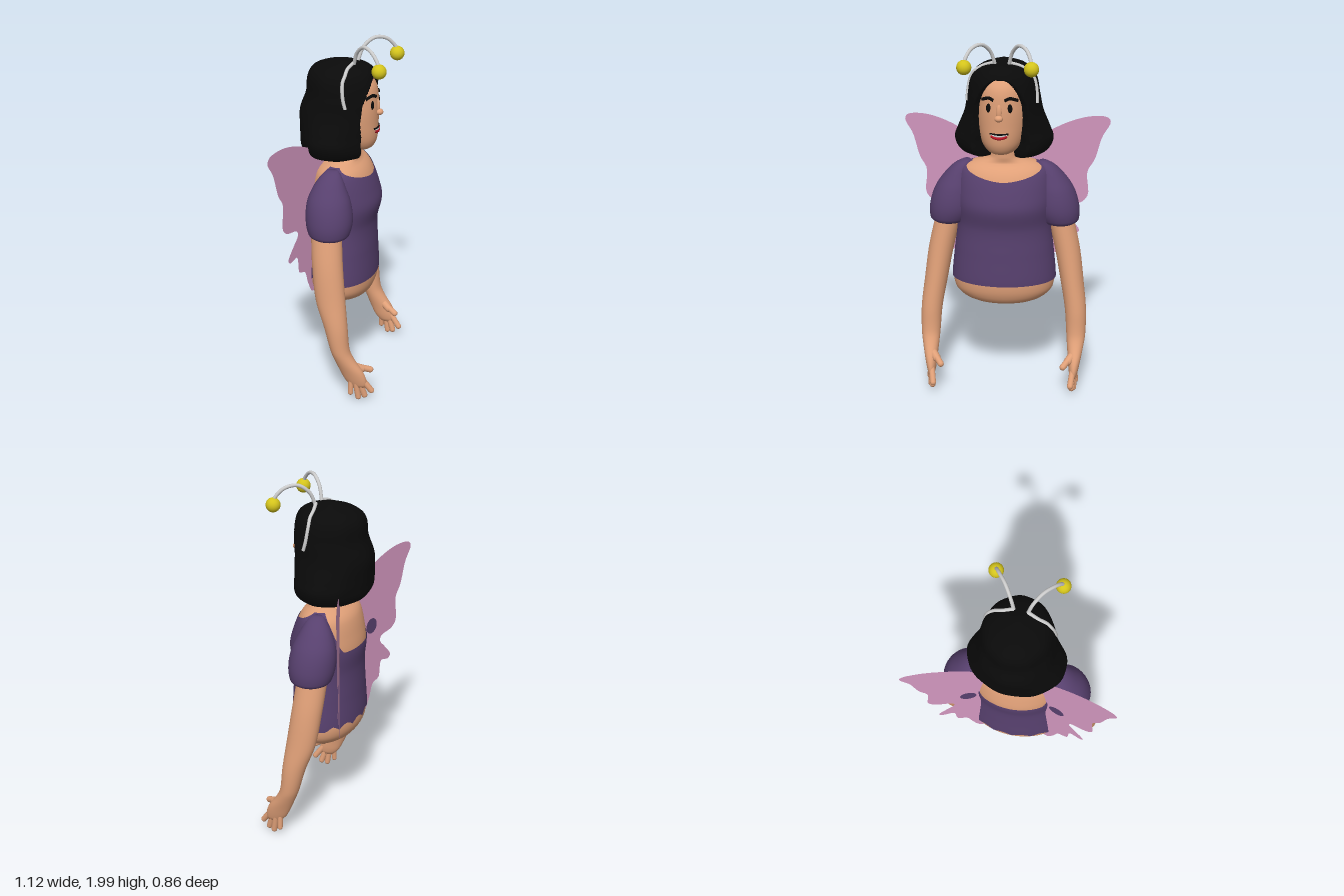
import * as THREE from 'three';

const mat = (color, side = THREE.FrontSide) => new THREE.MeshStandardMaterial({ color, side });
const V = (x, y, z) => new THREE.Vector3(x, y, z);
const smooth = THREE.MathUtils.smoothstep;

// Smooth lookup in a list of cross-sections [y, halfWidth, halfDepth, centreZ, centreX]
function sectionAt(secs, y) {
  let i = 0;
  while (i < secs.length - 2 && y > secs[i + 1][0]) i++;
  const p = secs[i], q = secs[i + 1];
  const o = secs[Math.max(i - 1, 0)], r = secs[Math.min(i + 2, secs.length - 1)];
  const h = q[0] - p[0], t = THREE.MathUtils.clamp((y - p[0]) / h, 0, 1);
  return [1, 2, 3, 4].map(k => {
    const a = p[k] ?? 0, b = q[k] ?? 0;
    const m0 = (b - (o[k] ?? 0)) / (q[0] - o[0]) * h, m1 = ((r[k] ?? 0) - a) / (r[0] - p[0]) * h;
    const t2 = t * t, t3 = t2 * t;
    return (2 * t3 - 3 * t2 + 1) * a + (t3 - 2 * t2 + t) * m0 + (3 * t2 - 2 * t3) * b + (t3 - t2) * m1;
  });
}

// Skin elliptical cross-sections; angle 0 is the front
function loft(secs, { n = 40, rows = 40, cap = true, factor = () => 1, lo, hi, side = 1 } = {}) {
  const y0 = secs[0][0], y1 = secs[secs.length - 1][0], pos = [], idx = [];
  const first = cap ? -1 : 0, last = cap ? rows + 1 : rows;
  for (let j = first; j <= last; j++) for (let i = 0; i < n; i++) {
    const th = -Math.PI + (i / n) * 2 * Math.PI;
    const v = THREE.MathUtils.clamp(j / rows, 0, 1);
    const y = THREE.MathUtils.lerp(lo ? lo(th) : y0, hi ? hi(th) : y1, v);
    const [a, b, cz, cx] = sectionAt(secs, y);
    const f = j < 0 || j > rows ? 0 : factor(th, y);
    pos.push(side * cx + a * f * Math.sin(th), y, cz + b * f * Math.cos(th));
  }
  for (let j = 0; j < last - first; j++) for (let i = 0; i < n; i++) {
    const k = (i + 1) % n, a = j * n + i, b = j * n + k;
    idx.push(a, b, b + n, a, b + n, a + n);
  }
  const g = new THREE.BufferGeometry();
  g.setAttribute('position', new THREE.Float32BufferAttribute(pos, 3));
  g.setIndex(idx);
  g.computeVertexNormals();
  return g;
}

function add(parent, name, geo, material, p) {
  const m = new THREE.Mesh(geo, material);
  m.name = name;
  if (p) m.position.copy(p);
  parent.add(m);
  return m;
}

// Round-ended stick from p to q
function stick(parent, name, p, q, r, material) {
  const d = q.clone().sub(p);
  const m = add(parent, name, new THREE.CapsuleGeometry(r, d.length(), 6, 12), material, p.clone().add(q).multiplyScalar(0.5));
  m.quaternion.setFromUnitVectors(V(0, 1, 0), d.normalize());
}

function ball(parent, name, p, sx, sy, sz, material) {
  add(parent, name, new THREE.SphereGeometry(1, 24, 16), material, p).scale.set(sx, sy, sz);
}

const tube = (pts, r) => new THREE.TubeGeometry(new THREE.CatmullRomCurve3(pts), 40, r, 10);

const TORSO = [[.493, .09, .05, .055], [.5, .16, .1, .05], [.52, .22, .145, .042], [.56, .268, .175, .035], [.6, .283, .189, .031],
  [.65, .286, .193, .03], [.8, .272, .186, .03], [.95, .256, .182, .03], [1.07, .262, .2, .036], [1.15, .26, .187, .032],
  [1.25, .245, .155, .025], [1.29, .22, .125, .025], [1.315, .16, .09, .03], [1.34, .09, .08, .045], [1.45, .08, .075, .05]];
const SLEEVE = [[.955, .085, .09, .018, .312], [.97, .108, .112, .018, .308], [1.05, .127, .13, .016, .291],
  [1.15, .111, .12, .01, .276], [1.23, .077, .088, .008, .255], [1.285, .047, .055, .012, .23], [1.308, .022, .03, .014, .212]];
const ARM = [[.085, .016, .04, .215, .403], [.12, .026, .06, .2, .404], [.18, .036, .066, .175, .408],
  [.25, .047, .057, .136, .412], [.31, .054, .054, .11, .414], [.45, .06, .066, .083, .409],
  [.6, .065, .083, .048, .388], [.8, .071, .086, .022, .356], [1, .073, .085, .004, .31]];
const HEAD = [[1.385, .05, .05, .13], [1.4, .08, .09, .11], [1.45, .115, .14, .08], [1.55, .138, .165, .06],
  [1.65, .142, .17, .055], [1.75, .135, .16, .05], [1.82, .09, .11, .05]];
const HAIR = [[1.355, .19, .15, .005], [1.365, .225, .178, .006], [1.4, .258, .204, .006], [1.45, .272, .207, .004],
  [1.5, .255, .21, .003], [1.6, .215, .222, .008], [1.7, .197, .205, .025], [1.8, .173, .19, .022], [1.85, .118, .145, .025], [1.885, .02, .03, .03]];
const WING = [[.08, 1.36], [.2, 1.42], [.34, 1.48], [.47, 1.505], [.57, 1.49], [.585, 1.46], [.54, 1.38], [.5, 1.25],
  [.46, 1.18], [.465, 1.04], [.43, 1], [.34, .98], [.33, .95], [.37, .9], [.42, .83], [.4, .81], [.34, .82], [.32, .72],
  [.27, .7], [.24, .62], [.2, .55], [.16, .56], [.13, .63], [.15, .75], [.16, .95], [.15, 1.1], [.12, 1.22]];
const SWEEP = .35;
const wingZ = x => -.18 - SWEEP * (Math.abs(x) - .41);

export function createModel() {
  const model = new THREE.Group();
  const skin = mat(0xe0a078), purple = mat(0x57406e), cloth = mat(0x57406e, THREE.DoubleSide);
  const pink = mat(0xd498c0, THREE.DoubleSide), black = mat(0x0a0a0a), grey = mat(0xcccccc);
  const yellow = mat(0xd4c41c), red = mat(0xc01828), white = mat(0xf2f2f2);

  // Body, turned a little to its left
  const body = new THREE.Group();
  body.name = 'body';
  body.position.x = .08;
  body.rotation.y = .37;
  model.add(body);
  add(body, 'torso', loft(TORSO, { n: 56, rows: 70 }), skin);

  // Top with scooped neckline, low back and scalloped back hem
  const hem = th => .63 + .025 * smooth(Math.abs(th), 1.9, 2.2) * Math.abs(Math.sin(8 * th));
  const neckline = th => {
    const t = Math.abs(th);
    return 1.23 + .08 * Math.min(1, t / 1.4) ** 1.5 - .22 * smooth(t, 1.95, 2.5);
  };
  add(body, 'top', loft(TORSO, { n: 112, rows: 50, cap: false, lo: hem, hi: neckline, factor: () => 1.025 }), cloth);

  for (const s of [1, -1]) {
    const tag = s > 0 ? 'left' : 'right';
    add(body, tag + 'Sleeve', loft(SLEEVE, { side: s }), purple);
    add(body, tag + 'Arm', loft(ARM, { side: s, n: 28, rows: 50 }), skin);

    // Fingers: knuckle x, y, z, tip x, y, z, radius
    [[.4, .13, .235, .388, .06, .285, .017], [.405, .115, .22, .395, .03, .247, .0175],
      [.41, .11, .2, .406, .02, .214, .017], [.412, .125, .172, .418, .048, .172, .015],
      [.405, .215, .175, .372, .185, .225, .023], [.385, .2, .205, .345, .17, .268, .018]].forEach((f, i) =>
      stick(body, tag + (i < 4 ? 'Finger' : 'Thumb'), V(s * f[0], f[1], f[2]), V(s * f[3], f[4], f[5]), f[6], skin));

    // Flat butterfly wing, swept back and rooted in the side of the back
    const outline = new THREE.CatmullRomCurve3(WING.map(([x, y]) => V(s * x, y, 0)), true, 'centripetal').getPoints(110);
    const wing = new THREE.ShapeGeometry(new THREE.Shape(outline.map(p => new THREE.Vector2(p.x, p.y))));
    const wp = wing.attributes.position;
    for (let i = 0; i < wp.count; i++) wp.setZ(i, wingZ(wp.getX(i)));
    wing.computeVertexNormals();
    add(body, tag + 'Wing', wing, pink);
    const spot = add(body, tag + 'WingSpot', new THREE.CircleGeometry(.046, 28), purple, V(s * .25, 1.075, wingZ(.25) - .004));
    spot.rotation.y = Math.PI + s * Math.atan(SWEEP);
  }

  // Head, turned slightly less than the body
  const head = new THREE.Group();
  head.name = 'head';
  head.position.x = .075;
  head.rotation.y = .3;
  model.add(head);
  add(head, 'face', loft(HEAD, { n: 48 }), skin);

  // Bobbed hair, hollowed at the front around the face
  add(head, 'hair', loft(HAIR, {
    n: 144, rows: 90,
    factor: (th, y) => {
      const open = THREE.MathUtils.clamp((1.8 - y) / .14, 0, 1) ** .42 * (.54 + .15 * smooth(y, 1.47, 1.6));
      const edge = open > 0 ? smooth(Math.abs(th), open - .06, open + .06) : 1;
      return (.35 + .65 * edge) * (1 + .008 * Math.sin(9 * th));
    },
  }), black);

  const onFace = (x, y, out = 0) => {
    const [a, b, cz] = sectionAt(HEAD, y);
    return V(x, y, cz + b * Math.sqrt(1 - (x / a) ** 2) + out);
  };
  ball(head, 'noseBridge', onFace(0, 1.63, -.006), .017, .045, .016, skin);
  ball(head, 'noseTip', onFace(0, 1.6, .006), .023, .018, .022, skin);
  const curveOnFace = (w, y, lift, out) => [-1, -.5, 0, .5, 1].map(k => onFace(k * w, y + lift * k * k, out));
  add(head, 'lowerLip', tube(curveOnFace(.042, 1.489, .012, .001), .009), red);
  add(head, 'teeth', tube(curveOnFace(.043, 1.501, .006, .001), .006), white);
  add(head, 'upperLip', tube(curveOnFace(.05, 1.51, .002, .001), .005), black);

  for (const s of [1, -1]) {
    const tag = s > 0 ? 'left' : 'right';
    ball(head, tag + 'Eye', onFace(s * .056, 1.652, -.002), .015, .025, .008, black);
    add(head, tag + 'Eyebrow', tube([onFace(s * .028, 1.696), onFace(s * .055, 1.706), onFace(s * .095, 1.692)], .009), black);

    // Half of the headband, lying on the hair
    const band = [[1.66, .36], [1.7, .29], [1.75, .26], [1.8, .27], [1.83, .32], [1.855, .4]].map(([y, c]) => {
      const [a, b, cz] = sectionAt(HAIR, y);
      return V(s * a * Math.sqrt(1 - c * c), y, cz + b * c);
    });
    band.push(V(s * .036, 1.876, .095));
    add(head, tag + 'Headband', tube(band, .01), grey);

    // Sprung antenna with a bobble
    const stalk = [[.036, 1.86, .095], [.06, 1.94, .12], [.1, 1.985, .17], [.145, 1.975, .225], [.172, 1.93, .266], [.178, 1.89, .278]];
    add(head, tag + 'Antenna', tube(stalk.map(p => V(s * p[0], p[1], p[2])), .01), grey);
    ball(head, tag + 'Bobble', V(s * .178, 1.885, .278), .04, .04, .04, yellow);
  }
  return model;
}
